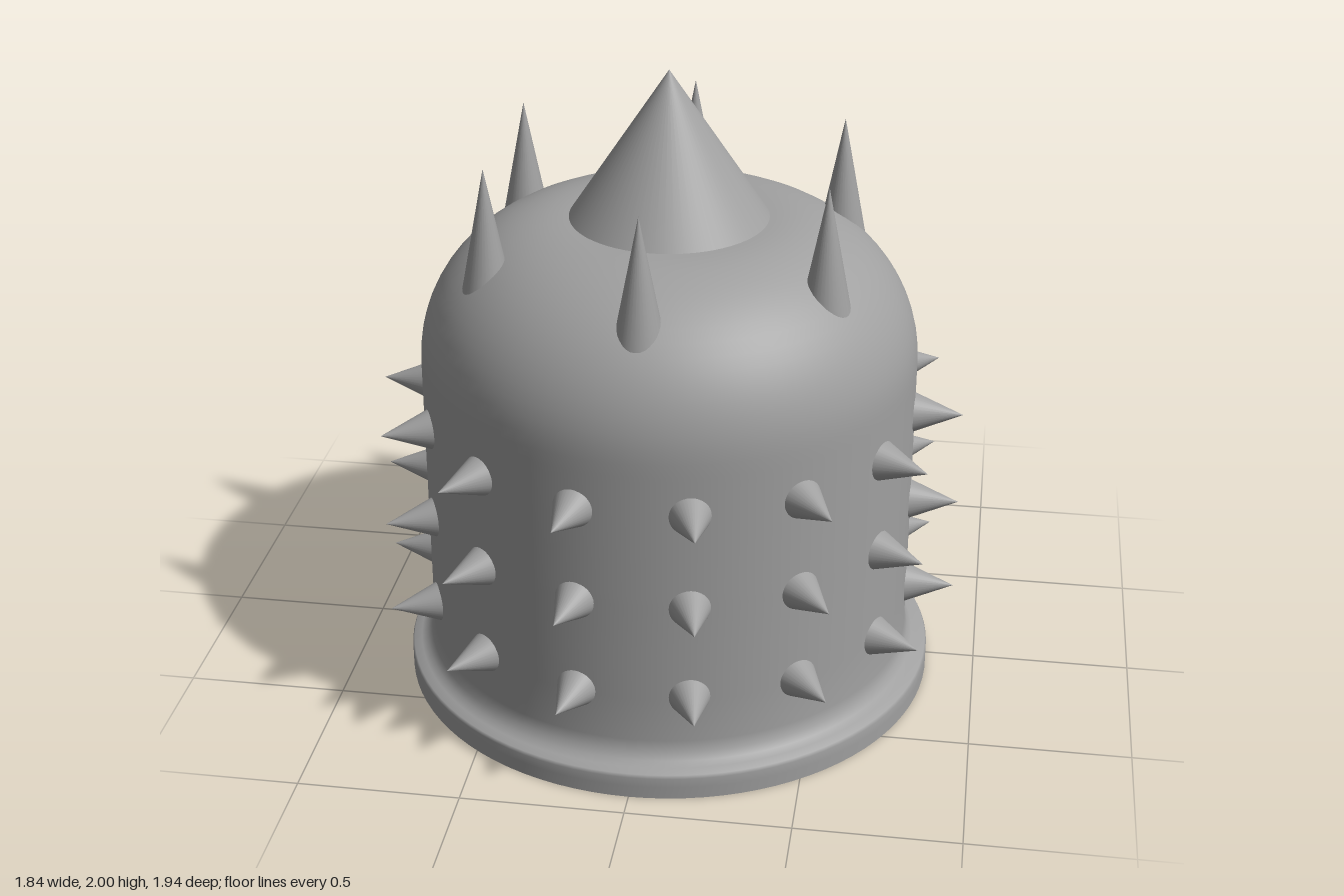
import * as THREE from 'three';

const CZ = 0.075;           // z of the body axis
const R = 0.77, RI = 0.615; // outer and inner wall radius
const DX = 0.235, DY = 0.625, DEPTH = 0.925; // doorway half width, height, distance from axis
const EDGE_OUT = Math.atan2(DX, DEPTH), EDGE_IN = Math.asin(DX / RI);

const smax = (a, b, k) => Math.max(a, b) + Math.max(k - Math.abs(a - b), 0) ** 2 / (4 * k);
const smin = (a, b, k) => -smax(-a, -b, k);
const material = (side = THREE.FrontSide) => new THREE.MeshStandardMaterial({ color: 0xa0a0a0, side });

// Point at angle t from the back (-z), turning towards +x
const polar = (r, y, t) => new THREE.Vector3(r * Math.sin(t), y, CZ - r * Math.cos(t));

// Radius of the outer wall: round body, door frame blended in, base flange on top
function outerRadius([r, y], t) {
  let wall = Math.min(r, R);
  const c = Math.cos(t), s = Math.abs(Math.sin(t));
  if (c > 0.3 && y < 1.1) {
    const depth = smin(DEPTH, 0.865 - (y - 0.8) * 1.25, 0.06);
    const frame = smin(depth / c, 0.388 / Math.max(s, 0.01), 0.15);
    wall = smax(wall, frame, 0.165);
  }
  return Math.max(wall, r);
}

// Angles round the wall, with columns exactly on the doorway edges
function angles(edge) {
  const half = [];
  const bend = 0.72;
  for (let i = 1; i <= 6; i++) half.push(edge * i / 6);
  for (let i = 1; i <= 28; i++) half.push(edge + (bend - edge) * i / 28);
  for (let i = 1; i < 36; i++) half.push(bend + (Math.PI - bend) * i / 36);
  return [...half.map(a => -a).reverse(), 0, ...half, Math.PI];
}

// Angles from one side of the doorway, round the front, to the other side
const aroundFront = (edge) => angles(edge)
  .map(t => (t < 0 ? t + 2 * Math.PI : t))
  .filter(t => t > edge - 1e-6 && t < 2 * Math.PI - edge + 1e-6)
  .sort((a, b) => a - b);

// Closed wall surface from a profile, leaving the doorway open
function wallGeometry(profile, edge, radius, inward) {
  const ts = angles(edge), n = ts.length, pos = [], index = [];
  for (const p of profile) for (const t of ts) pos.push(...polar(radius(p, t), p[1], t).toArray());
  for (let j = 0; j < profile.length - 1; j++) {
    const low = (profile[j][1] + profile[j + 1][1]) / 2 < DY;
    for (let i = 0; i < n; i++) {
      const k = (i + 1) % n;
      if (low && k > 0 && Math.abs((ts[i] + ts[k]) / 2) < edge) continue;
      const a = j * n + i, b = j * n + k, c = b + n, d = a + n;
      if (inward) index.push(a, b, d, b, c, d);
      else index.push(a, d, b, b, d, c);
    }
  }
  const g = new THREE.BufferGeometry();
  g.setAttribute('position', new THREE.Float32BufferAttribute(pos, 3));
  g.setIndex(index);
  g.computeVertexNormals();
  return g;
}

// Quarter-round shoulder ending in a flat top
function shoulder(r, y, bend) {
  const pts = [];
  for (let i = 0; i <= 16; i++) {
    const a = i / 16 * Math.PI / 2;
    pts.push([r - bend + bend * Math.cos(a), y + bend * Math.sin(a)]);
  }
  pts.push([(r - bend) * 0.8, y + bend], [0.001, y + bend]);
  return pts;
}

// Downward-facing flat face from points in x and z
function flatFace(points, y) {
  const shape = new THREE.Shape(points.map(p => new THREE.Vector2(p.x, p.z)));
  return new THREE.ShapeGeometry(shape).rotateX(Math.PI / 2).translate(0, y, 0);
}

export function createModel() {
  const model = new THREE.Group();
  const add = (name, geometry, side, parent = model) => {
    const mesh = new THREE.Mesh(geometry, material(side));
    mesh.name = name;
    parent.add(mesh);
    return mesh;
  };
  const group = (name) => {
    const g = new THREE.Group();
    g.name = name;
    model.add(g);
    return g;
  };
  // Cone from the middle of its base to its tip
  const spike = (name, radius, base, tip, parent) => {
    const dir = tip.clone().sub(base);
    const mesh = add(name, new THREE.ConeGeometry(radius, dir.length(), 32), undefined, parent);
    mesh.position.copy(base).addScaledVector(dir, 0.5);
    mesh.quaternion.setFromUnitVectors(new THREE.Vector3(0, 1, 0), dir.normalize());
  };

  // Outer wall with flange, door frame and domed top
  const outer = [[0.845, 0], [0.845, 0.04], [0.845, 0.07], [0.84, 0.08], [0.815, 0.088],
    [0.795, 0.1], [0.78, 0.122], [R, 0.155], [R, 0.3], [R, 0.46], [R, DY]];
  for (let y = 0.65; y < 1.07; y += 0.02) outer.push([R, y]);
  outer.push(...shoulder(R, 1.09, 0.45));
  add('outerWall', wallGeometry(outer, EDGE_OUT, outerRadius, false));

  // Hollow inside
  const inner = [[RI, 0], [RI, 0.3], [RI, DY], [RI, 0.85], ...shoulder(RI, 1.09, 0.295)];
  add('innerWall', wallGeometry(inner, EDGE_IN, p => p[0], true), THREE.DoubleSide);

  // Flat underside, open at the doorway
  const under = [
    ...aroundFront(EDGE_OUT).map(t => polar(outerRadius(outer[0], t), 0, t)),
    ...aroundFront(EDGE_IN).reverse().map(t => polar(RI, 0, t)),
  ];
  add('underside', flatFace(under, 0), THREE.DoubleSide);

  // Doorway lining
  const zBack = CZ - DEPTH, zIn = CZ - RI * Math.cos(EDGE_IN);
  for (const s of [-1, 1]) {
    const jamb = new THREE.PlaneGeometry(zIn - zBack, DY).rotateY(-s * Math.PI / 2);
    add('doorJamb', jamb.translate(s * DX, DY / 2, (zIn + zBack) / 2), THREE.DoubleSide);
  }
  const lintel = [new THREE.Vector3(-DX, 0, zBack), new THREE.Vector3(DX, 0, zBack)];
  for (let i = 6; i >= -6; i--) lintel.push(polar(RI, 0, EDGE_IN * i / 6));
  add('doorLintel', flatFace(lintel, DY), THREE.DoubleSide);

  // Large cone on the roof
  const roof = add('roofCone', new THREE.ConeGeometry(0.308, 0.465, 64));
  roof.position.set(0, 1.7675, CZ);

  // Ring of upright horns on the dome
  const horns = group('domeHorns');
  for (let i = 0; i < 6; i++) {
    const t = i * Math.PI / 3;
    spike('domeHorn', 0.078, polar(0.583, 1.37, t), polar(0.583, 1.77, t), horns);
  }

  // Three rows of wall spikes, leaving out the doorway
  const wallSpikes = group('wallSpikes');
  for (const y of [0.31, 0.617, 0.925]) {
    for (let i = 1; i < 13; i++) {
      const t = (i + 0.5) * Math.PI / 7;
      spike('wallSpike', 0.071, polar(0.745, y, t), polar(0.92, y, t), wallSpikes);
    }
  }

  // Small spikes around the doorway
  const doorSpikes = group('doorSpikes');
  const doorSpike = (x, y) => spike('doorSpike', 0.03,
    new THREE.Vector3(x, y, zBack + 0.005), new THREE.Vector3(x, y, -0.97), doorSpikes);
  for (const s of [-1, 1]) {
    for (const y of [0.04, 0.245, 0.45, 0.655]) doorSpike(s * 0.27, y);
    doorSpike(s * 0.09, 0.655);
  }

  return model;
}
